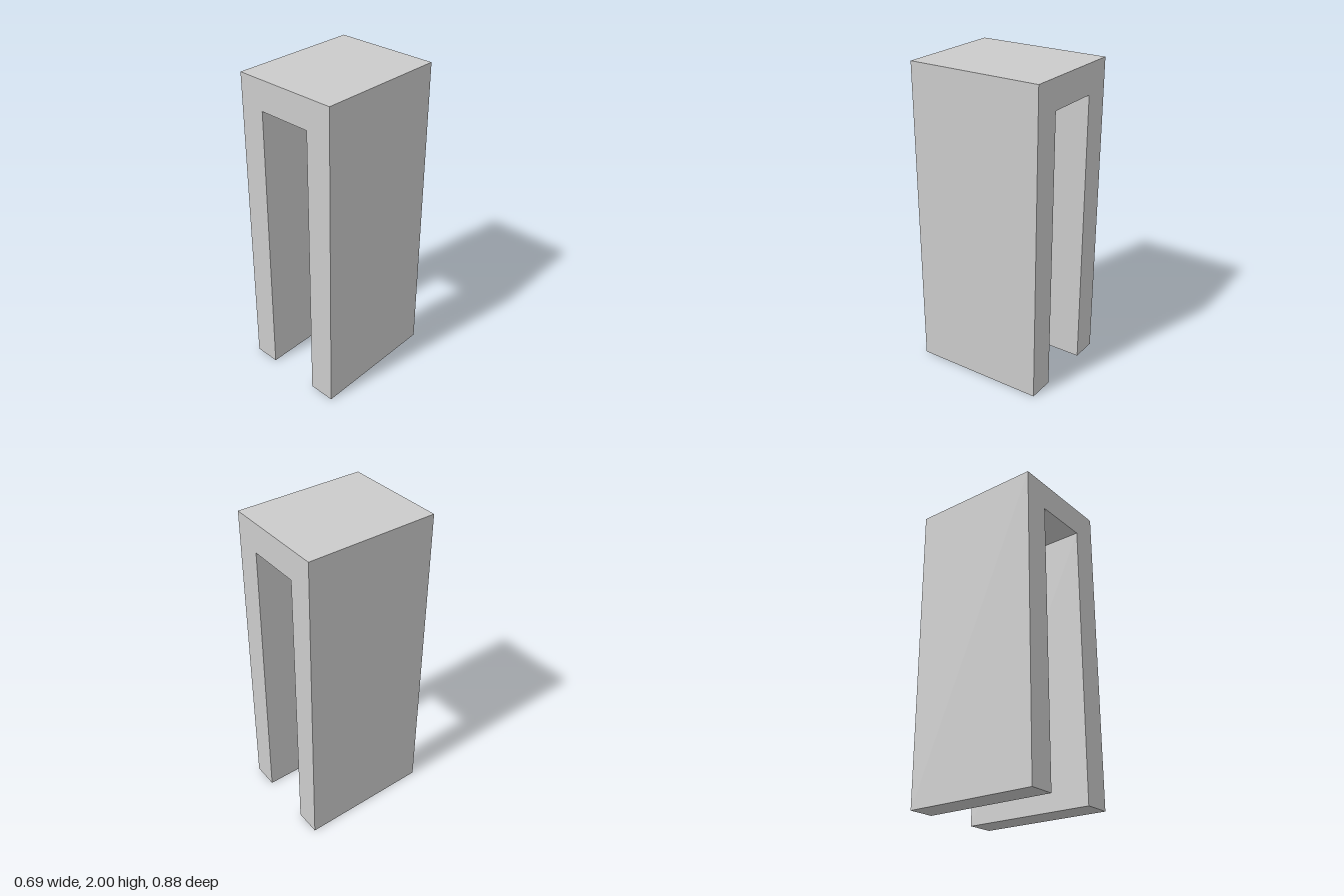
import * as THREE from 'three';

const HALF_W = 0.346, HEIGHT = 2, DEPTH = 0.854;
const OPEN_L = -0.178, OPEN_R = 0.175, OPEN_TOP = 1.813;
const SKEW = 0.034; // z shift per unit of x

export function createModel() {
  const group = new THREE.Group();
  group.name = 'archBlock';

  // Upside-down U: two legs joined by a lintel
  const profile = new THREE.Shape([
    [-HALF_W, 0], [OPEN_L, 0], [OPEN_L, OPEN_TOP], [OPEN_R, OPEN_TOP],
    [OPEN_R, 0], [HALF_W, 0], [HALF_W, HEIGHT], [-HALF_W, HEIGHT],
  ].map(([x, y]) => new THREE.Vector2(x, y)));

  const geometry = new THREE.ExtrudeGeometry(profile, { depth: DEPTH, bevelEnabled: false });
  geometry.translate(0, 0, -DEPTH / 2);

  // Slant the front and back so the plan is a parallelogram
  geometry.applyMatrix4(new THREE.Matrix4().set(
    1, 0, 0, 0,
    0, 1, 0, 0,
    SKEW, 0, 1, 0,
    0, 0, 0, 1,
  ));
  geometry.computeVertexNormals();

  const arch = new THREE.Mesh(geometry, new THREE.MeshStandardMaterial({ color: 0xcccccc, flatShading: true }));
  arch.name = 'arch';
  group.add(arch);
  return group;
}
